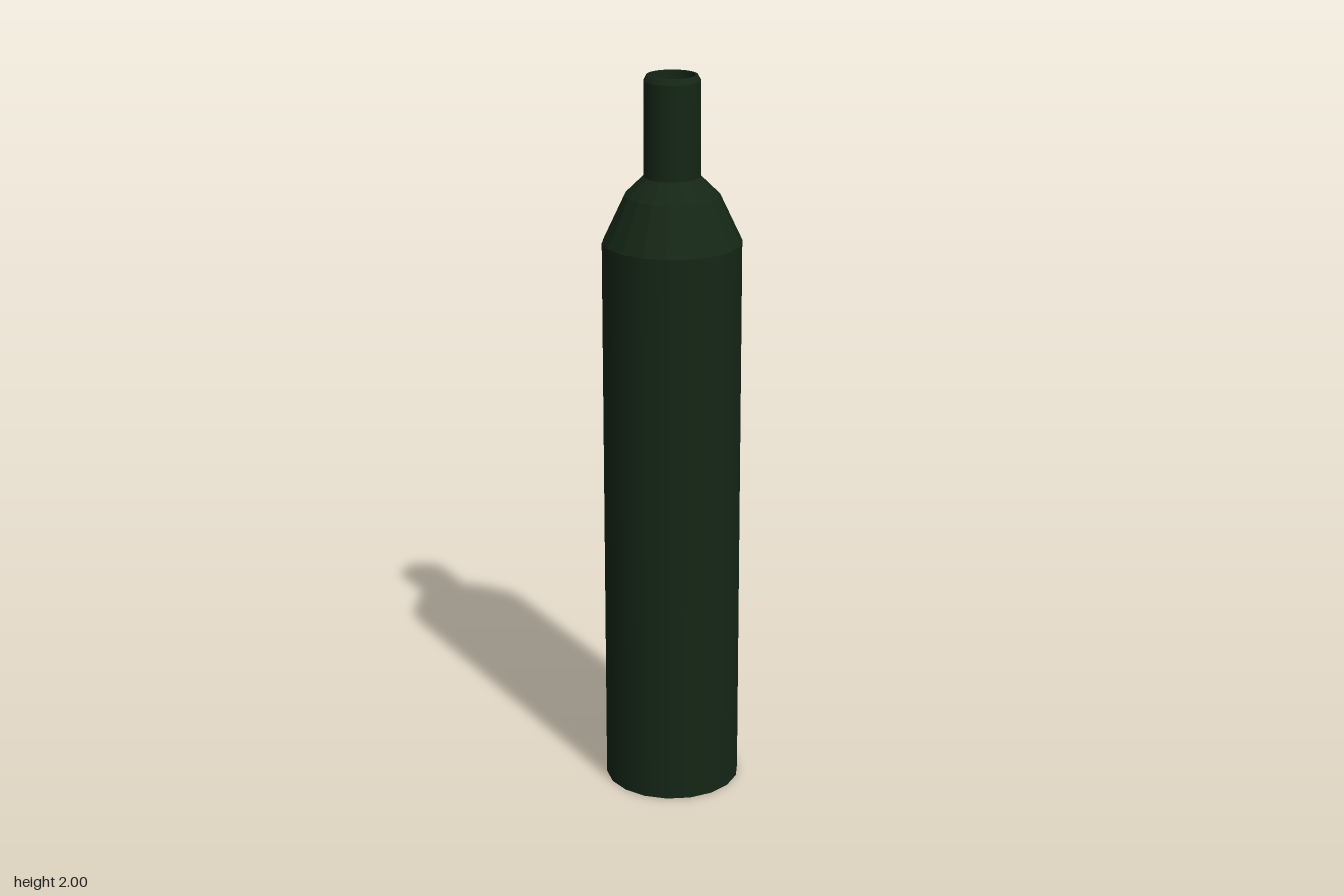
import * as THREE from 'three';

const glass = new THREE.MeshStandardMaterial({ color: 0x152616 });
const facetedGlass = new THREE.MeshStandardMaterial({ color: 0x152616, flatShading: true });
const wine = new THREE.MeshStandardMaterial({ color: 0x5e1511 });

export function createModel() {
  const model = new THREE.Group();
  model.name = 'bottle';

  const add = (name, geometry, material, y = 0) => {
    const mesh = new THREE.Mesh(geometry, material);
    mesh.name = name;
    mesh.position.y = y;
    model.add(mesh);
    return mesh;
  };

  // Turned part with a corner on the x axis
  const turn = (points, sides) =>
    new THREE.LatheGeometry(points.map(([r, y]) => new THREE.Vector2(r, y)), sides, Math.PI / 2);

  const R = 0.187, neckR = 0.075, boreR = 0.061;

  // Straight body and its flat base
  add('body', turn([[R, 0], [R, 1.555]], 18), glass);
  add('base', new THREE.CircleGeometry(R, 18).rotateX(Math.PI / 2), glass);

  // Two-step sloping shoulder
  add('shoulder', turn([[R, 1.555], [0.127, 1.682], [neckR - 0.002, 1.735]], 18), facetedGlass);

  // Neck, chamfered lip and hollow bore
  add('neck', turn([[neckR, 1.725], [neckR, 1.985]], 36), glass);
  add('lip', turn([[neckR, 1.985], [0.067, 2], [boreR, 2]], 36), facetedGlass);
  add('bore', turn([[boreR, 2], [boreR, 1.73]], 36), glass);

  // Surface of the liquid deep in the neck
  add('liquid', new THREE.CircleGeometry(boreR, 36).rotateX(-Math.PI / 2), wine, 1.74);

  return model;
}
